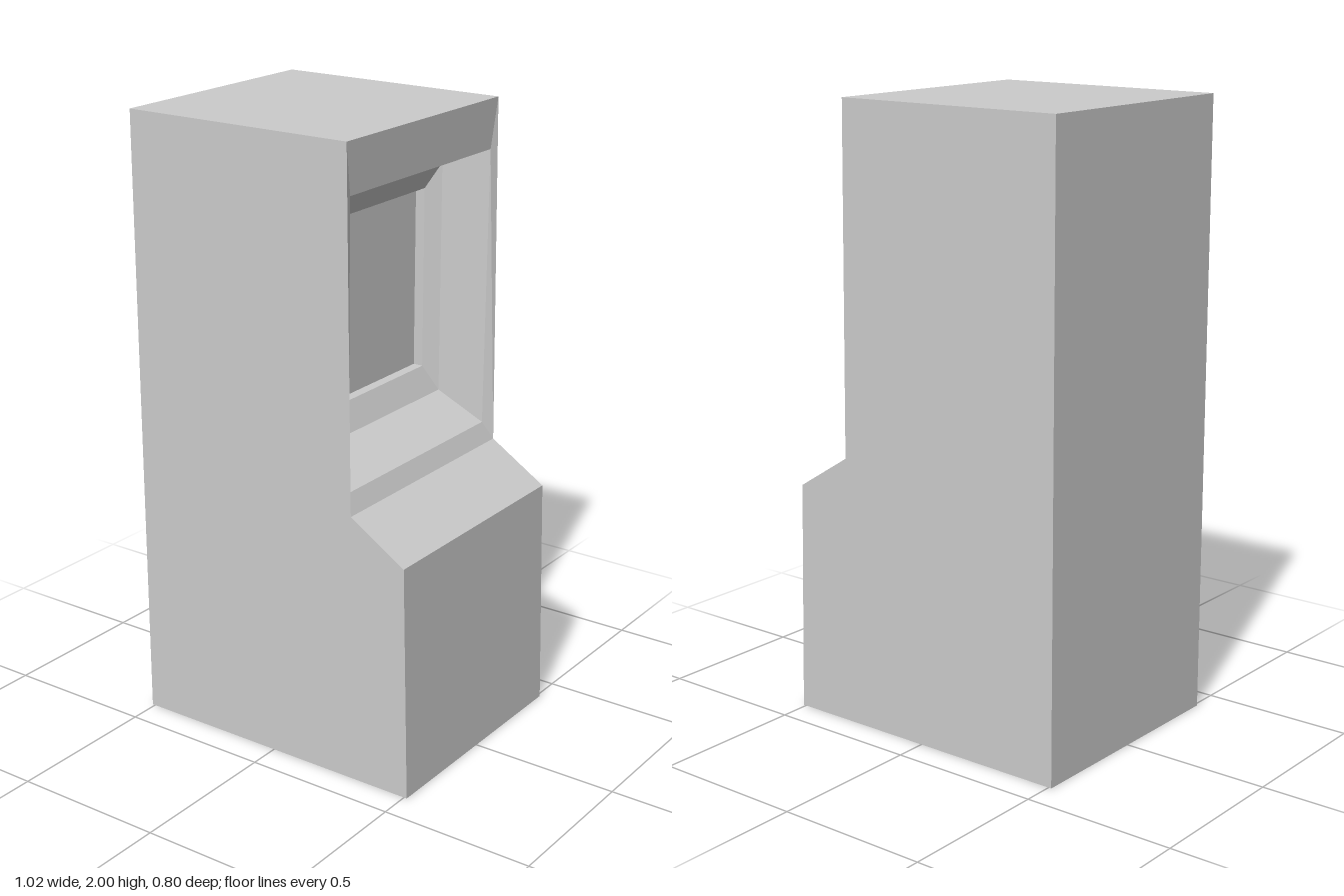
import * as THREE from 'three';

// Flat-shaded geometry from a list of quads, corners counter-clockwise seen from outside
function quadGeometry(quads) {
  const pos = [];
  for (const [a, b, c, d] of quads) pos.push(...a, ...b, ...c, ...a, ...c, ...d);
  const g = new THREE.BufferGeometry();
  g.setAttribute('position', new THREE.Float32BufferAttribute(pos, 3));
  g.computeVertexNormals();
  return g;
}

// Rectangle facing +x, given its x at bottom and top, half width and heights
function ring(xBottom, xTop, halfWidth, yBottom, yTop) {
  return [
    [xBottom, yBottom, halfWidth], [xBottom, yBottom, -halfWidth],
    [xTop, yTop, -halfWidth], [xTop, yTop, halfWidth],
  ];
}

// Four quads joining an outer rectangle to an inner one
function bridge(outer, inner) {
  return outer.map((p, i) => {
    const j = (i + 1) % 4;
    return [p, outer[j], inner[j], inner[i]];
  });
}

export function createModel() {
  const group = new THREE.Group();
  const grey = new THREE.MeshStandardMaterial({ color: 0xcccccc, flatShading: true });
  grey.name = 'light grey';
  const add = (name, geometry) => {
    const mesh = new THREE.Mesh(geometry, grey);
    mesh.name = name;
    group.add(mesh);
    return mesh;
  };

  const W = 0.4;
  const profile = [[-0.51, 0], [0.51, 0], [0.49, 0.76], [0.3, 0.88], [0.285, 2], [-0.51, 2]];

  // Side walls from the cabinet profile
  const side = new THREE.ShapeGeometry(new THREE.Shape(profile.map(([x, y]) => new THREE.Vector2(x, y))));
  add('leftSide', side).position.z = W;
  const back = side.clone();
  const index = Array.from(back.index.array).reverse();
  back.setIndex(index);
  back.computeVertexNormals();
  add('rightSide', back).position.z = -W;

  // Panels along the profile; the upper front (edge 3) is left open for the screen bay
  const names = ['base', 'lowerFront', 'controlSlope', null, 'top', 'back'];
  names.forEach((name, i) => {
    if (!name) return;
    const a = profile[i], b = profile[(i + 1) % profile.length];
    add(name, quadGeometry([[[...a, W], [...a, -W], [...b, -W], [...b, W]]]));
  });

  // Screen bay: frame, deep surround, bezel and short step back to the screen
  const rings = [
    ring(0.3, 0.285, W, 0.88, 2),
    ring(0.272, 0.278, 0.373, 0.94, 1.84),
    ring(0.115, 0.115, 0.353, 1.025, 1.78),
    ring(0.075, 0.075, 0.315, 1.11, 1.7),
    ring(0.042, 0.042, 0.315, 1.11, 1.7),
  ];
  ['frame', 'surround', 'bezel', 'screenStep'].forEach((name, i) =>
    add(name, quadGeometry(bridge(rings[i], rings[i + 1]))));
  add('screen', quadGeometry([rings[4]]));

  return group;
}
